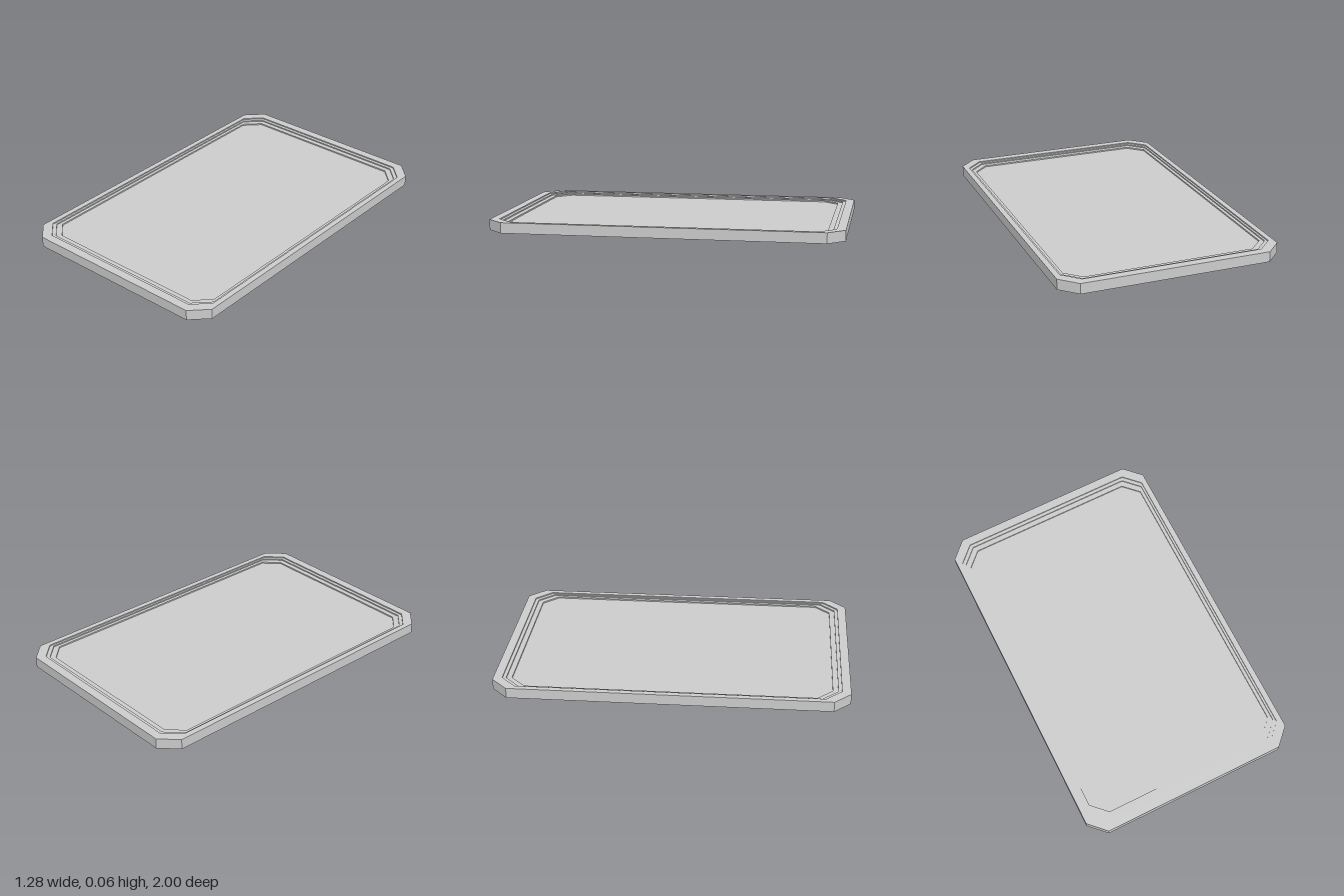
import * as THREE from 'three';

const material = new THREE.MeshStandardMaterial({ color: 0xcccccc, flatShading: true });

// Chamfered rectangle, as [x, z] corners running from +x towards +z
const OUTLINE = [
  [0.64, -0.905], [0.64, 0.905], [0.545, 1], [-0.545, 1],
  [-0.64, 0.905], [-0.64, -0.905], [-0.545, -1], [0.545, -1],
];

// Sweep a [scale, height] profile around the outline with flat facets
function sweepOutline(profile) {
  const pos = [];
  const at = ([s, y], i) => {
    const [x, z] = OUTLINE[i % OUTLINE.length];
    return [x * s, y, z * s];
  };
  for (let p = 0; p < profile.length - 1; p++) {
    for (let i = 0; i < OUTLINE.length; i++) {
      const a = at(profile[p], i), b = at(profile[p], i + 1);
      const c = at(profile[p + 1], i), d = at(profile[p + 1], i + 1);
      pos.push(...a, ...c, ...b, ...b, ...c, ...d);
    }
  }
  const geo = new THREE.BufferGeometry();
  geo.setAttribute('position', new THREE.Float32BufferAttribute(pos, 3));
  geo.computeVertexNormals();
  return geo;
}

// Flat sheet in the shape of the outline, facing up or down
function sheet(scale, y, up) {
  const shape = new THREE.Shape(OUTLINE.map(([x, z]) => new THREE.Vector2(x * scale, z * scale)));
  const geo = new THREE.ShapeGeometry(shape);
  geo.rotateX(up ? -Math.PI / 2 : Math.PI / 2);
  geo.translate(0, y, 0);
  return geo;
}

export function createModel() {
  const group = new THREE.Group();
  group.name = 'tray';
  const add = (name, geo) => {
    const mesh = new THREE.Mesh(geo, material);
    mesh.name = name;
    group.add(mesh);
  };

  // Raised border: shallow recess below, outer wall, rim
  add('rim', sweepOutline([[0.95, 0.01], [0.95, 0], [1, 0], [1, 0.06], [0.95, 0.06]]));
  // Two small steps leading down to the floor
  add('innerSteps', sweepOutline([
    [0.95, 0.06], [0.95, 0.053], [0.93, 0.053], [0.93, 0.046], [0.9, 0.046], [0.9, 0.038],
  ]));
  // Panel surfaces
  add('floor', sheet(0.9, 0.038, true));
  add('underside', sheet(0.95, 0.01, false));
  return group;
}
